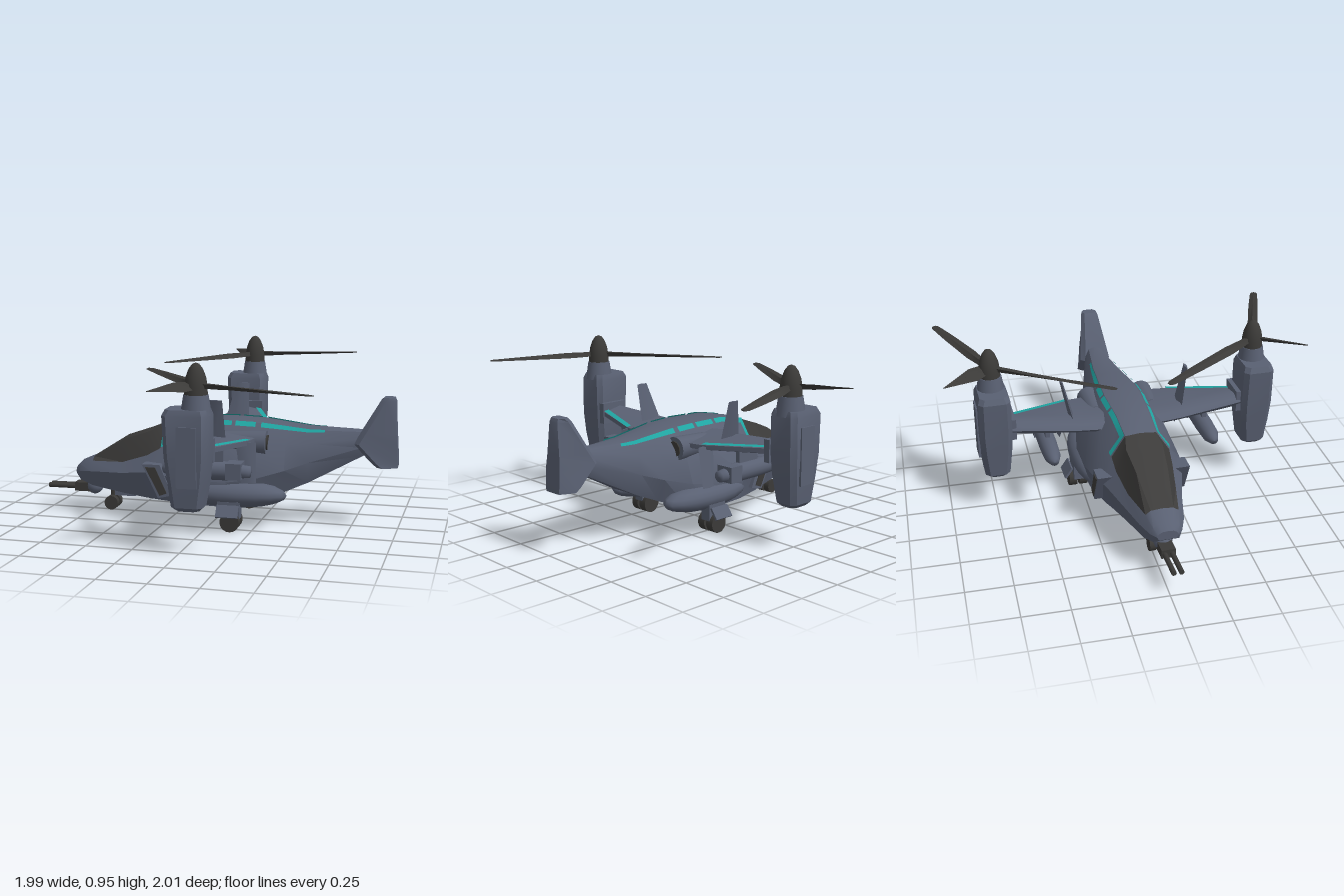
import * as THREE from 'three';
import { toCreasedNormals } from 'three/addons/utils/BufferGeometryUtils.js';

const mat = (name, color, side = THREE.FrontSide) => {
  const m = new THREE.MeshStandardMaterial({ color, side });
  m.name = name;
  return m;
};
const hull = mat('hull grey', 0x596072);
const dark = mat('dark rotor and rubber', 0x3b3a38);
const glass = mat('canopy glass', 0x3d3c3b);
const teal = mat('teal stripe', 0x20a5a2, THREE.DoubleSide);
const YAW = 0.036;

// Skin closed rings of [x,y,z]; keep(i,j) selects quads, winding is made outward.
function loft(rings, crease = 0.6, keep = () => true, caps = true) {
  const n = rings[0].length, tris = [];
  const add = (a, b, c, k) => tris.push({ p: [a, b, c], k });
  for (let i = 0; i < rings.length - 1; i++)
    for (let j = 0; j < n; j++) {
      const a = rings[i][j], b = rings[i][(j + 1) % n];
      const c = rings[i + 1][(j + 1) % n], d = rings[i + 1][j];
      add(a, b, c, keep(i, j));
      add(a, c, d, keep(i, j));
    }
  const first = rings[0], last = rings[rings.length - 1];
  for (let j = 1; j < n - 1; j++) {
    add(first[0], first[j + 1], first[j], caps);
    add(last[0], last[j], last[j + 1], caps);
  }
  let vol = 0;
  const V = (p) => new THREE.Vector3(...p);
  for (const { p } of tris) vol += V(p[0]).dot(V(p[1]).cross(V(p[2])));
  const pos = [];
  for (const { p, k } of tris) if (k) pos.push(...(vol < 0 ? [p[0], p[2], p[1]] : p).flat());
  const g = new THREE.BufferGeometry();
  g.setAttribute('position', new THREE.Float32BufferAttribute(pos, 3));
  return toCreasedNormals(g, crease);
}

// Open strip between two point rows.
function ribbon(rowA, rowB) {
  const pos = [];
  for (let i = 0; i < rowA.length - 1; i++)
    pos.push(...rowA[i], ...rowB[i], ...rowB[i + 1], ...rowA[i], ...rowB[i + 1], ...rowA[i + 1]);
  const g = new THREE.BufferGeometry();
  g.setAttribute('position', new THREE.Float32BufferAttribute(pos, 3));
  g.computeVertexNormals();
  return g;
}

function part(parent, name, geo, material, x = 0, y = 0, z = 0, rot = [0, 0, 0]) {
  const m = new THREE.Mesh(geo, material);
  m.name = name;
  m.position.set(x, y, z);
  m.rotation.set(...rot);
  parent.add(m);
  return m;
}
const box = (a, b, c) => new THREE.BoxGeometry(a, b, c);
const cyl = (r1, r2, h, n = 14) => new THREE.CylinderGeometry(r1, r2, h, n);
const ALONG_X = [0, 0, Math.PI / 2], ALONG_Z = [Math.PI / 2, 0, 0];

// Fuselage stations: x, top, then half-width and height of edge, sill, waist and belly.
const stations = [
  [-0.82, 0.265, 0.03, 0.262, 0.05, 0.25, 0.058, 0.235, 0.045, 0.215],
  [-0.79, 0.295, 0.04, 0.29, 0.07, 0.275, 0.085, 0.24, 0.07, 0.19],
  [-0.71, 0.33, 0.06, 0.325, 0.088, 0.305, 0.118, 0.25, 0.095, 0.165],
  [-0.52, 0.45, 0.085, 0.438, 0.13, 0.315, 0.165, 0.26, 0.13, 0.14],
  [-0.37, 0.502, 0.1, 0.49, 0.155, 0.365, 0.21, 0.28, 0.17, 0.13],
  [-0.29, 0.535, 0.085, 0.527, 0.16, 0.41, 0.24, 0.28, 0.2, 0.13],
  [-0.12, 0.572, 0.09, 0.56, 0.18, 0.47, 0.268, 0.26, 0.24, 0.125],
  [0.1, 0.58, 0.1, 0.565, 0.19, 0.47, 0.27, 0.26, 0.25, 0.12],
  [0.25, 0.573, 0.095, 0.56, 0.18, 0.46, 0.24, 0.28, 0.2, 0.14],
  [0.4, 0.555, 0.08, 0.542, 0.145, 0.46, 0.185, 0.32, 0.13, 0.195],
  [0.52, 0.543, 0.07, 0.527, 0.115, 0.46, 0.14, 0.36, 0.1, 0.245],
  [0.8, 0.532, 0.035, 0.522, 0.055, 0.49, 0.06, 0.44, 0.04, 0.39],
  [0.88, 0.53, 0.03, 0.52, 0.04, 0.49, 0.045, 0.46, 0.03, 0.43],
];
function stationAt(x) {
  let i = 0;
  while (i < stations.length - 2 && stations[i + 1][0] < x) i++;
  const a = stations[i], b = stations[i + 1], t = (x - a[0]) / (b[0] - a[0]);
  return a.map((v, k) => v + (b[k] - v) * t);
}
// Point on the upper flank, t = 0 at the roof edge and 1 at the sill.
function flank(x, t, s) {
  const q = stationAt(x);
  return [x, q[3] + (q[5] - q[3]) * t + 0.005, s * (q[2] + (q[4] - q[2]) * t + 0.005)];
}

function fuselage(g) {
  const rings = stations.map(([x, top, a, ya, b, yb, c, yc, d, yd]) => {
    const half = [[a, ya], [b, yb], [c, yc], [d, yd]];
    return [[x, top, 0], ...half.map(([z, y]) => [x, y, z]), [x, yd, 0],
      ...half.slice().reverse().map(([z, y]) => [x, y, -z])];
  });
  const isGlass = (i, j) => i >= 2 && i <= 4 && (j < 2 || j > 7);
  part(g, 'fuselage', loft(rings, 0.6, (i, j) => !isGlass(i, j)), hull);
  part(g, 'canopy', loft(rings, 0.4, isGlass, false), glass);

  // Tail fin, wide at its leading edge
  const fin = [[0.335, 0.88, 0.99, 0.085], [0.36, 0.85, 0.99, 0.088], [0.46, 0.755, 0.985, 0.09],
    [0.52, 0.79, 0.98, 0.08], [0.69, 0.89, 0.973, 0.052], [0.71, 0.91, 0.965, 0.045]];
  part(g, 'tailFin', loft(fin.map(([y, a, b, w]) =>
    [[a, y, -w * 0.7], [a + 0.03, y, -w], [b, y, -w * 0.6], [b, y, w * 0.6], [a + 0.03, y, w], [a, y, w * 0.7]])), hull);

  // Chin gun and belly pod
  part(g, 'gunTurret', new THREE.SphereGeometry(0.05, 14, 10), hull, -0.73, 0.145, 0);
  part(g, 'gunBreech', box(0.1, 0.05, 0.075), dark, -0.79, 0.138, 0);
  for (const s of [-1, 1]) part(g, 'gunBarrel', cyl(0.014, 0.014, 0.2, 10), dark, -0.9, 0.137, s * 0.02, ALONG_X);
  part(g, 'bellySensor', box(0.12, 0.05, 0.12), hull, -0.53, 0.13, 0);

  // Nose gear
  part(g, 'noseStrut', cyl(0.014, 0.014, 0.13, 8), dark, -0.62, 0.11, 0);
  for (const s of [-1, 1]) part(g, 'noseWheel', cyl(0.04, 0.04, 0.035, 16), dark, -0.62, 0.055, s * 0.028, ALONG_Z);
}

function fuselageSide(g, s) {
  // Roof stripes in dashes, and the drop behind the canopy
  const dashes = [[-0.28, -0.05], [-0.03, 0.1], [0.12, 0.23], [0.26, 0.6]];
  for (const [a, b] of dashes) {
    const xs = Array.from({ length: 9 }, (_, i) => a + ((b - a) * i) / 8);
    part(g, 'roofStripe', ribbon(xs.map((x) => flank(x, 0, s)), xs.map((x) => flank(x, 0.24, s))), teal);
  }
  const ts = [0, 0.25, 0.5, 0.75, 1];
  part(g, 'canopyStripe', ribbon(ts.map((t) => flank(-0.288, t, s)), ts.map((t) => flank(-0.262, t, s))), teal);

  // Air intake with a raised frame
  const quad = (pts, depth) => new THREE.ExtrudeGeometry(
    new THREE.Shape(pts.map((p) => new THREE.Vector2(...p))), { depth, bevelEnabled: false });
  part(g, 'intakeFrame', quad([[-0.37, 0.335], [-0.27, 0.335], [-0.2, 0.17], [-0.28, 0.15]], 0.1),
    hull, 0, 0, s > 0 ? 0.155 : -0.255);
  part(g, 'intake', quad([[-0.35, 0.32], [-0.295, 0.32], [-0.23, 0.18], [-0.27, 0.165]], 0.006),
    dark, 0, 0, s > 0 ? 0.254 : -0.26);

  // Engine and exhaust beside the roof
  part(g, 'engine', cyl(0.055, 0.065, 0.22), hull, 0.19, 0.465, s * 0.155, ALONG_X);
  part(g, 'exhaust', cyl(0.042, 0.042, 0.03), dark, 0.293, 0.465, s * 0.155, ALONG_X);

  // Main gear in its sponson
  const sponson = new THREE.SphereGeometry(1, 18, 10);
  sponson.scale(0.3, 0.075, 0.1);
  part(g, 'sponson', sponson, hull, 0.12, 0.19, s * 0.205);
  part(g, 'gearLeg', box(0.12, 0.09, 0.06), hull, 0.12, 0.115, s * 0.265);
  part(g, 'gearDoor', box(0.12, 0.07, 0.012), hull, 0.12, 0.115, s * 0.325, [-s * 0.6, 0, 0]);
  for (const k of [-1, 1])
    part(g, 'mainWheel', cyl(0.053, 0.053, 0.045, 18), dark, 0.13, 0.054, s * (0.265 + k * 0.03), ALONG_Z);
}

function wing(g, s) {
  const rows = [[0.1, -0.12, 0.26, 0.48, 0.09], [0.28, -0.1, 0.235, 0.482, 0.08], [0.65, -0.05, 0.11, 0.505, 0.075]];
  part(g, 'wing', loft(rows.map(([z, a, b, y, t]) => {
    const c = b - a;
    return [[a, y, z], [a + c * 0.08, y + t * 0.3, z], [a + c * 0.3, y + t / 2, z], [b, y + 0.015, z],
      [b, y - 0.01, z], [a + c * 0.3, y - t / 2, z], [a + c * 0.08, y - t * 0.3, z]].map(([x, v, w]) => [x, v, s * w]);
  }), 0.7), hull);
  part(g, 'wingStripe', ribbon([[0.21, 0.507, s * 0.29], [0.085, 0.53, s * 0.63]],
    [[0.24, 0.502, s * 0.29], [0.118, 0.525, s * 0.63]]), teal);
  part(g, 'wingCollar', box(0.17, 0.12, 0.035), hull, 0.04, 0.508, s * 0.642);

  // Winglets above and below
  const winglet = (rows) => loft(rows.map(([y, a, b, z, t]) =>
    [[a, y, s * z], [(a + b) / 2, y, s * (z + t)], [b, y, s * z], [(a + b) / 2, y, s * (z - t)]]));
  part(g, 'upperWinglet', winglet([[0.47, -0.04, 0.11, 0.3, 0.015], [0.715, 0.03, 0.1, 0.355, 0.008]]), hull);
  part(g, 'lowerWinglet', winglet([[0.49, 0.16, 0.27, 0.3, 0.012], [0.28, 0.2, 0.28, 0.345, 0.007]]), hull);

  // Underwing pod on a pylon
  const pod = [[0, -0.25], [0.025, -0.24], [0.045, -0.18], [0.05, -0.06], [0.05, 0.12], [0.035, 0.18], [0.03, 0.22], [0, 0.225]];
  part(g, 'pod', new THREE.LatheGeometry(pod.map((p) => new THREE.Vector2(...p)), 16), hull,
    0.05, 0.365, s * 0.45, [0, 0, -Math.PI / 2]);
  part(g, 'podCollar', box(0.08, 0.085, 0.1), hull, 0.19, 0.37, s * 0.45);
  part(g, 'pylon', box(0.14, 0.1, 0.025), hull, 0.06, 0.44, s * 0.45);
}

function nacelle(g, s) {
  const cz = s * 0.738;
  const rows = [[0.225, -0.04, 0.08, 0.05], [0.245, -0.06, 0.1, 0.068], [0.38, -0.075, 0.12, 0.082],
    [0.5, -0.09, 0.13, 0.088], [0.7, -0.1, 0.13, 0.086], [0.73, -0.085, 0.12, 0.075]];
  part(g, 'nacelle', loft(rows.map(([y, a, b, w]) => {
    const k = 0.025;
    return [[a, w - k], [a + k, w], [b - k, w], [b, w - k], [b, k - w], [b - k, -w], [a + k, -w], [a, k - w]]
      .map(([x, z]) => [x, y, cz + z]);
  }), 0.5), hull);
  part(g, 'nacelleNeck', cyl(0.062, 0.078, 0.1, 16), hull, 0.058, 0.75, cz);
  part(g, 'nacellePanel', box(0.1, 0.3, 0.012), hull, 0.03, 0.5, cz + s * 0.089);

  // Rotor: spinner and three blades of unequal reach
  const hub = new THREE.Group();
  hub.name = 'rotor';
  hub.position.set(0.058, 0, cz);
  g.add(hub);
  const spin = [[0.058, 0.79], [0.057, 0.84], [0.05, 0.885], [0.035, 0.925], [0.018, 0.948], [0, 0.955]];
  part(hub, 'spinner', new THREE.LatheGeometry(spin.map((p) => new THREE.Vector2(...p)), 18), dark);
  const tips = s > 0 ? [[0.61, 0.21], [-0.44, -0.59], [-0.16, 0.27]] : [[0.59, -0.25], [-0.38, 0.61], [-0.18, -0.25]];
  tips.forEach(([x, z], i) => {
    const len = Math.hypot(x, z);
    // fraction of span, chord, pitch, thickness
    const shape = i < 2 ? [[0.03, 0.035, 0.6, 0.016], [0.2, 0.05, 0.5, 0.013], [0.3, 0.06, 0.4, 0.01], [0.7, 0.056, 0.2, 0.007], [0.97, 0.042, 0.1, 0.004], [1, 0.025, 0.1, 0.003]]
      : [[0.05, 0.06, 0.6, 0.014], [0.35, 0.085, 0.5, 0.01], [1, 0.006, 0.3, 0.003]];
    const rings = shape.map(([f, c, p, t]) => [[-c / 2, 0], [0, t], [c / 2, 0], [0, -t]].map(([u, v]) =>
      [f * len, 0.845 + u * Math.sin(p) + v * Math.cos(p), u * Math.cos(p) - v * Math.sin(p)]));
    part(hub, 'blade', loft(rings, 0.5), dark, 0, 0, 0, [0, -(Math.atan2(z, x) + YAW), 0]);
  });
}

export function createModel() {
  const root = new THREE.Group();
  root.name = 'tiltrotorAircraft';
  const craft = new THREE.Group();
  craft.name = 'aircraft';
  craft.rotation.y = YAW;
  root.add(craft);
  fuselage(craft);
  for (const s of [-1, 1]) {
    const side = new THREE.Group();
    side.name = s > 0 ? 'leftSide' : 'rightSide';
    craft.add(side);
    fuselageSide(side, s);
    wing(side, s);
    nacelle(side, s);
  }
  return root;
}
